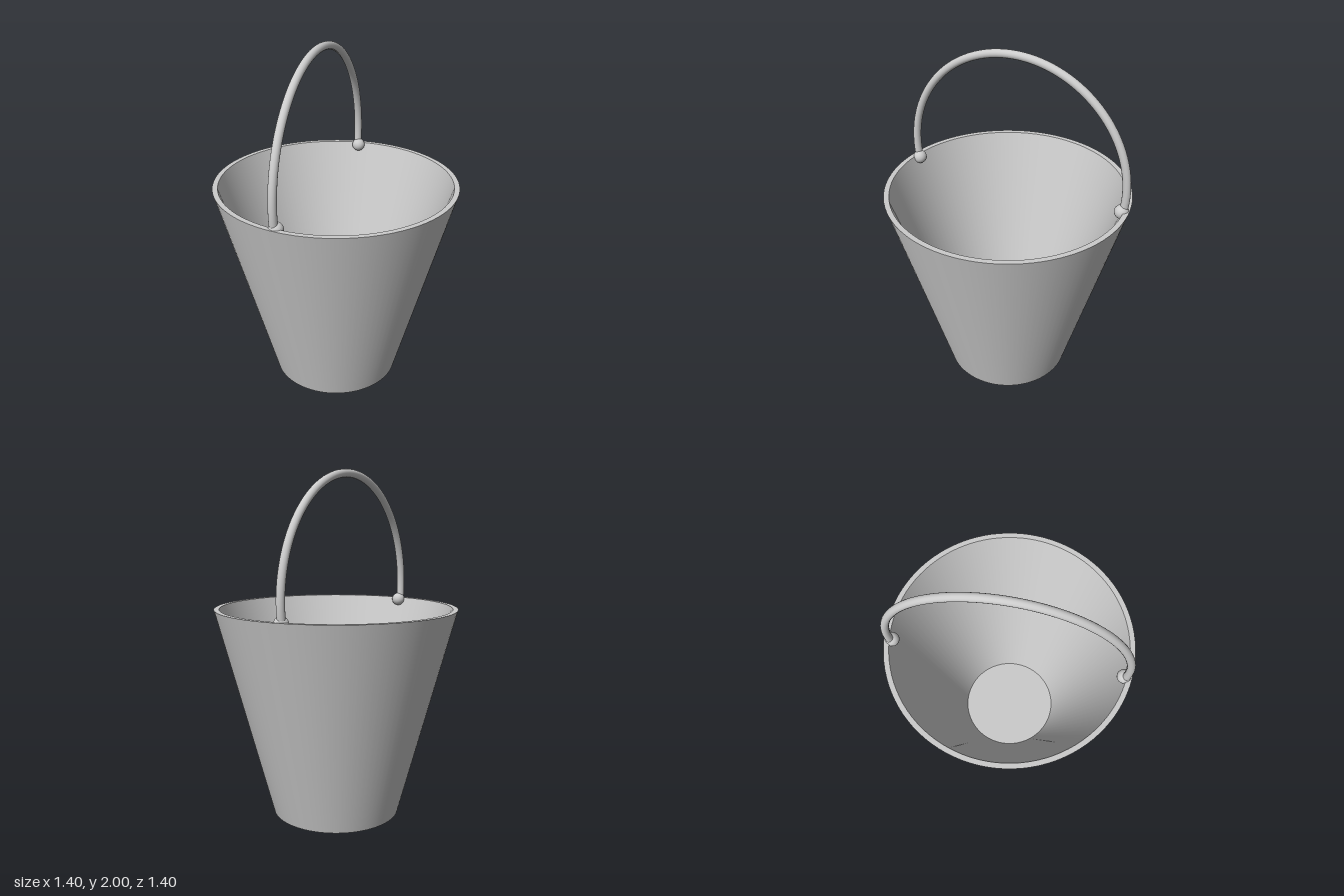
import * as THREE from 'three';
import { toCreasedNormals } from 'three/addons/utils/BufferGeometryUtils.js';

export function createModel() {
  const group = new THREE.Group();
  const material = new THREE.MeshStandardMaterial({ color: 0xcccccc });
  const add = (name, geometry, x = 0, y = 0, z = 0) => {
    const mesh = new THREE.Mesh(geometry, material);
    mesh.name = name;
    mesh.position.set(x, y, z);
    group.add(mesh);
    return mesh;
  };

  // Bucket: tapered wall with a flat rim, closed floor inside and base below
  const profile = [
    [0, 0], [0.375, 0], [0.7, 1.225], [0.67, 1.225], [0.298, 0.05], [0, 0.05],
  ].map(([r, y]) => new THREE.Vector2(r, y));
  add('bucket', toCreasedNormals(new THREE.LatheGeometry(profile, 96), 0.6));

  // Handle: arc slightly longer than a half circle, running front to back
  const radius = 0.665;
  const centreY = 1.312;
  const dip = 0.14;
  const arc = new THREE.TorusGeometry(radius, 0.023, 16, 64, Math.PI + 2 * dip);
  arc.rotateZ(-dip);
  arc.rotateY(Math.PI / 2);
  add('handle', arc, -0.088, centreY, 0);

  // Round pivots where the handle meets the rim
  for (const [name, side] of [['frontPivot', 1], ['backPivot', -1]]) {
    add(name, new THREE.SphereGeometry(0.04, 24, 16), -0.08, 1.215, side * 0.65);
  }
  return group;
}
